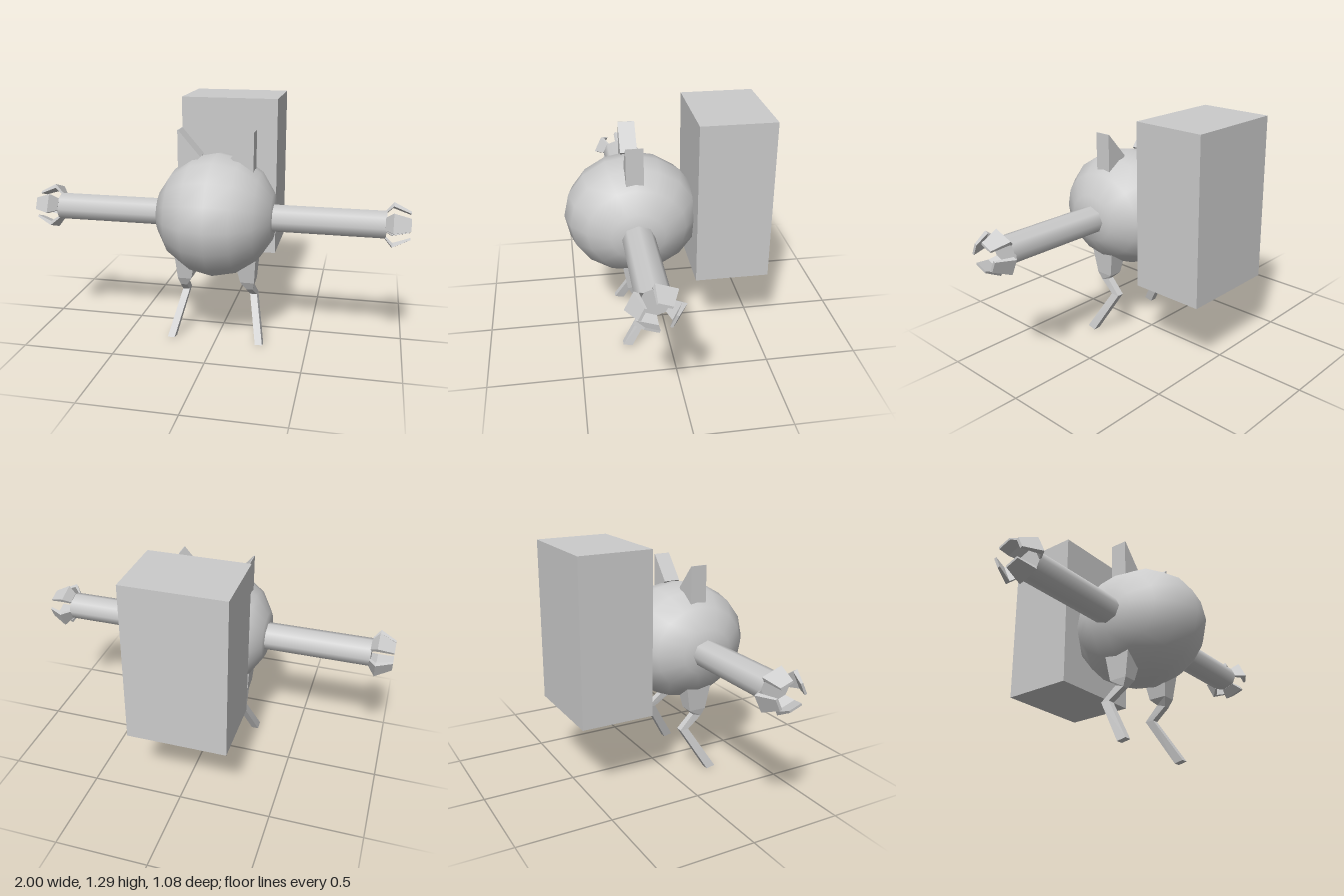
import * as THREE from 'three';

const smooth = new THREE.MeshStandardMaterial({ color: 0xcccccc });
const flat = new THREE.MeshStandardMaterial({ color: 0xcccccc, flatShading: true });

const CY = 0.705, CZ = 0.168; // centre of body and arms

function add(parent, name, geometry, material) {
  const mesh = new THREE.Mesh(geometry, material);
  mesh.name = name;
  parent.add(mesh);
  return mesh;
}

// Solid through four-cornered rings, capped at both ends and turned outward.
function loft(rings) {
  const tris = [];
  const quad = (a, b, c, d) => tris.push([a, b, c], [a, c, d]);
  for (let i = 0; i + 1 < rings.length; i++) {
    for (let j = 0; j < 4; j++) {
      const k = (j + 1) % 4;
      quad(rings[i][j], rings[i][k], rings[i + 1][k], rings[i + 1][j]);
    }
  }
  const last = rings[rings.length - 1];
  quad(...[...rings[0]].reverse());
  quad(...last);
  let volume = 0;
  for (const [a, b, c] of tris) {
    volume += new THREE.Vector3(...a).dot(new THREE.Vector3(...b).cross(new THREE.Vector3(...c)));
  }
  if (volume < 0) tris.forEach(t => t.reverse());
  const geometry = new THREE.BufferGeometry();
  geometry.setAttribute('position', new THREE.Float32BufferAttribute(tris.flat(2), 3));
  geometry.computeVertexNormals();
  return geometry;
}

// Round body with its two sides slightly flattened
function bodyGeometry() {
  const g = new THREE.SphereGeometry(1, 16, 8);
  g.rotateZ(Math.PI / 2);
  g.scale(0.325, 0.327, 0.37);
  const p = g.attributes.position;
  for (let i = 0; i < p.count; i++) {
    p.setX(i, THREE.MathUtils.clamp(p.getX(i), -0.305, 0.305));
  }
  return g;
}

// Bent gripper finger: [x, radius, width, thickness] per ring
function clawGeometry(side, angle) {
  const profile = [
    [0.875, 0.07, 0.062, 0.014],
    [0.912, 0.112, 0.1, 0.022],
    [1.0, 0.071, 0.064, 0.012],
  ];
  const c = Math.cos(angle), s = Math.sin(angle);
  return loft(profile.map(([x, r, w, t]) => {
    const corner = (rad, u) => [
      side * x,
      CY + rad * s + u * c,
      CZ + 1.16 * (rad * c - u * s),
    ];
    return [corner(r, -w / 2), corner(r, w / 2), corner(r - t, w / 2), corner(r - t, -w / 2)];
  }));
}

// Thigh, knee and shin: [x inner, x outer, z back, z front, y back, y front]
function legGeometry(side) {
  const sections = [
    [0.1, 0.222, 0.095, 0.25, 0.51, 0.51],
    [0.135, 0.21, 0.122, 0.222, 0.35, 0.35],
    [0.165, 0.2, 0.15, 0.2, 0.322, 0.305],
    [0.172, 0.21, 0.065, 0.115, 0.245, 0.245],
    [0.225, 0.264, 0.21, 0.26, 0, 0.01],
  ];
  return loft(sections.map(([x0, x1, z0, z1, yb, yf]) => [
    [side * x0, yb, z0], [side * x1, yb, z0], [side * x1, yf, z1], [side * x0, yf, z1],
  ]));
}

// Wedge ear with an upright outer face
function earGeometry(side) {
  const outline = [[0.2, 1.16], [0.196, 1.16], [0.08, 1.025], [0.2, 0.9]];
  return loft([0.125, 0.217].map(z => outline.map(([x, y]) => [side * x, y, z])));
}

export function createModel() {
  const model = new THREE.Group();
  model.name = 'robot';

  add(model, 'body', bodyGeometry(), smooth).position.set(0, 0.712, CZ);

  // Large box on the back
  add(model, 'backpack', new THREE.BoxGeometry(0.54, 0.885, 0.4), flat)
    .position.set(0, 0.843, -0.344);

  for (const side of [1, -1]) {
    const label = side > 0 ? 'left' : 'right';

    // Arm tube, a little deeper than tall
    const tube = new THREE.CylinderGeometry(1, 1, 0.64, 8);
    tube.rotateZ(Math.PI / 2);
    tube.scale(1, 0.074, 0.086);
    const arm = new THREE.Group();
    arm.name = label + 'Arm';
    add(arm, 'armTube', tube, smooth).position.set(side * 0.56, CY, CZ);

    // Four gripper fingers on alternate sides of the tube
    for (let k = 0; k < 4; k++) {
      add(arm, 'claw', clawGeometry(side, Math.PI * (0.625 + k / 2)), flat);
    }
    model.add(arm);

    add(model, label + 'Leg', legGeometry(side), flat);
    add(model, label + 'Ear', earGeometry(side), flat);
  }
  return model;
}
